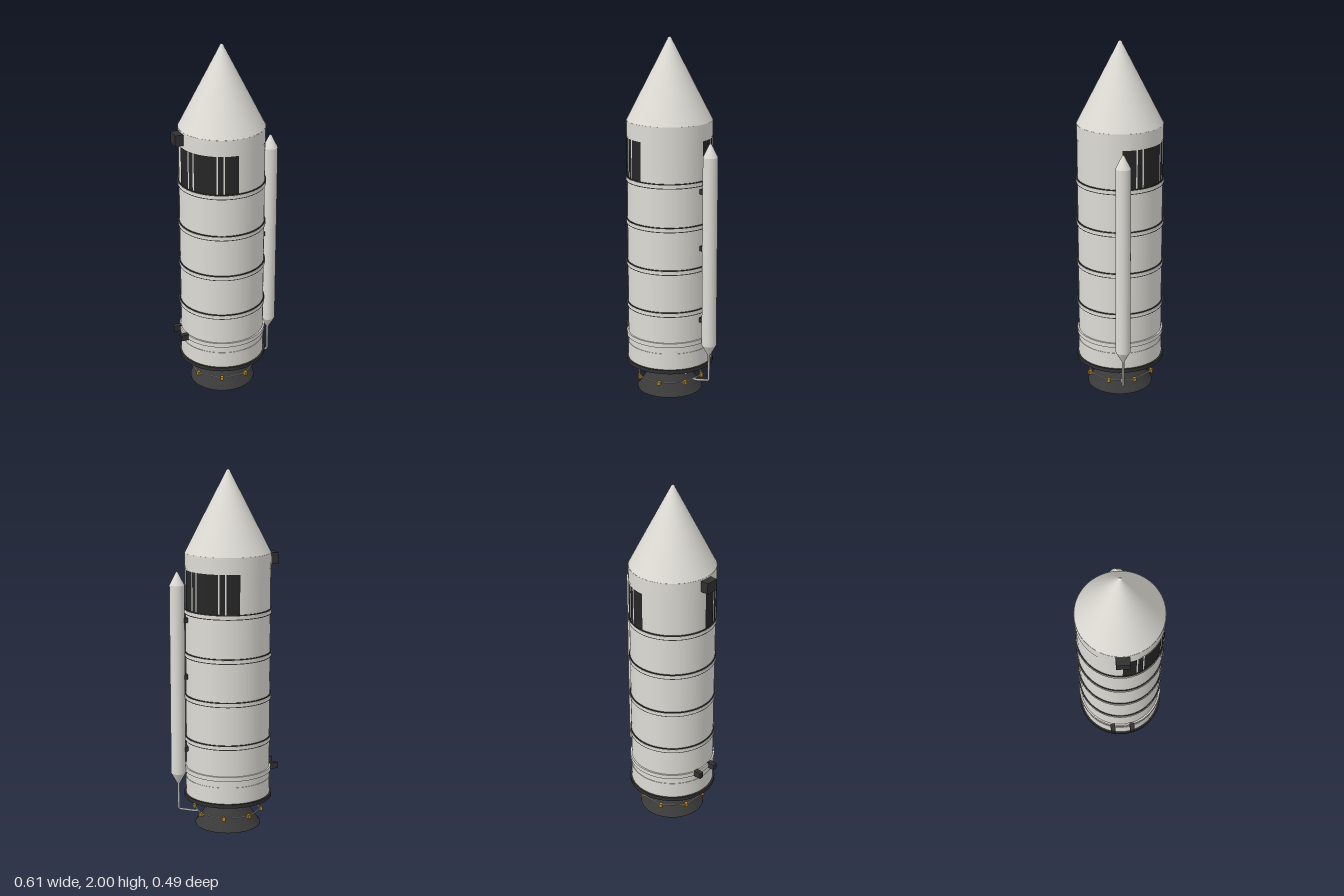
import * as THREE from 'three';

const mat = (name, color) => {
  const m = new THREE.MeshStandardMaterial({ color });
  m.name = name;
  return m;
};

export function createModel() {
  const white = mat('hull white', 0xdddbd4);
  const black = mat('panel black', 0x262626);
  const dark = mat('fitting charcoal', 0x303030);
  const bell = mat('nozzle grey', 0x3a3a3a);
  bell.side = THREE.DoubleSide;
  const steel = mat('pipe grey', 0xb4b2ac);
  const gold = mat('gold', 0xb9851c);

  const root = new THREE.Group();
  root.name = 'rocketStage';
  const rocket = new THREE.Group();
  rocket.name = 'rocket';
  rocket.position.x = -0.0265;
  root.add(rocket);

  const add = (name, geometry, material, x = 0, y = 0, z = 0) => {
    const m = new THREE.Mesh(geometry, material);
    m.name = name;
    m.position.set(x, y, z);
    rocket.add(m);
    return m;
  };
  const lathe = (pts, seg = 64) =>
    new THREE.LatheGeometry(pts.map(([r, y]) => new THREE.Vector2(r, y)), seg);
  const drum = (name, r, y0, y1, material) =>
    add(name, new THREE.CylinderGeometry(r, r, y1 - y0, 64), material, 0, (y0 + y1) / 2, 0);
  const box = (name, w, h, d, material, x, y, z) =>
    add(name, new THREE.BoxGeometry(w, h, d), material, x, y, z);
  const pipe = (name, pts, r, material) => {
    const path = new THREE.CurvePath();
    const v = pts.map(p => new THREE.Vector3(...p));
    for (let i = 1; i < v.length; i++) path.add(new THREE.LineCurve3(v[i - 1], v[i]));
    return add(name, new THREE.TubeGeometry(path, 24, r, 8), material);
  };

  // Hull, nose collar and nose cone
  drum('hull', 0.234, 0.185, 1.47, white);
  drum('noseCollar', 0.236, 1.47, 1.553, white);
  add('noseCone', lathe([[0.235, 1.553], [0.014, 1.984]]), white);
  add('noseTip', lathe([[0.014, 1.984], [0.011, 1.992], [0.006, 1.998], [0, 2]]), white);

  // Raised hull bands with dark seams along both edges
  for (const y of [1.233, 0.992, 0.752, 0.511]) {
    drum('hullBand', 0.241, y - 0.009, y + 0.009, white);
    for (const s of [-1, 1]) drum('bandSeam', 0.2395, y + s * 0.011 - 0.003, y + s * 0.011 + 0.003, dark);
  }

  // Lower skirt
  drum('lowerBand', 0.243, 0.321, 0.346, white);
  drum('skirt', 0.2365, 0.19, 0.283, white);
  drum('basePlate', 0.246, 0.168, 0.189, dark);

  // Two opposite quarter-round panels, divided by narrow hull stripes
  const rad = THREE.MathUtils.degToRad;
  const cuts = [0, 19, 28, 62, 71, 90];
  for (const start of [-90, 90]) {
    for (let i = 0; i < cuts.length - 1; i++) {
      const a = cuts[i] + (i ? 1 : 0);
      const b = cuts[i + 1] - (i < cuts.length - 2 ? 1 : 0);
      add('sidePanel', new THREE.CylinderGeometry(0.236, 0.236, 0.218, Math.ceil((b - a) / 4), 1, true,
        rad(start + a), rad(b - a)), black, 0, 1.354, 0);
    }
  }

  // Mounting blocks on the right flank
  box('upperMount', 0.05, 0.062, 0.074, dark, -0.2535, 1.512, 0);
  for (const s of [-1, 1]) box('lowerMount', 0.046, 0.034, 0.027, dark, -0.253, 0.335, s * 0.057);

  // Slim side tank with its brackets and feed pipe
  const tx = 0.287;
  add('sideTankBody', lathe([[0.041, 0.32], [0.041, 1.383]], 24), white, tx);
  add('sideTankTop', lathe([[0.041, 1.383], [0.007, 1.452], [0, 1.458]], 24), white, tx);
  add('sideTankBottom', lathe([[0, 0.255], [0.008, 0.26], [0.041, 0.32]], 24), white, tx);
  for (const y of [1.19, 0.872, 0.46]) box('tankBracket', 0.04, 0.026, 0.046, dark, 0.238, y, 0);
  pipe('tankFeed', [[tx, 0.265, 0], [tx, 0.108, 0], [0.2, 0.087, 0], [0.172, 0.085, 0]], 0.007, steel);

  // Engine bell
  add('engineNeck', new THREE.CylinderGeometry(0.105, 0.08, 0.02, 48), dark, 0, 0.161, 0);
  add('engineBell', lathe([[0.184, 0], [0.184, 0.007], [0.178, 0.01], [0.142, 0.065],
    [0.11, 0.115], [0.082, 0.155]], 48), bell);

  // Engine feed struts
  for (const s of [-1, 1]) {
    pipe('engineStrut', [[s * 0.14, 0.17, 0], [s * 0.132, 0.13, 0], [s * 0.105, 0.08, 0]], 0.009, steel);
  }

  // Octagonal manifold with gold valves at the corners
  const R = 0.189;
  const corner = i => {
    const a = (i + 0.5) * Math.PI / 4;
    return [R * Math.sin(a), 0.087, R * Math.cos(a)];
  };
  for (let i = 0; i < 8; i++) {
    const p = corner(i);
    pipe('manifoldPipe', [p, corner(i + 1)], 0.004, steel);
    const valve = box('valve', 0.018, 0.022, 0.02, gold, ...p);
    valve.rotation.y = (i + 0.5) * Math.PI / 4;
  }

  return root;
}
